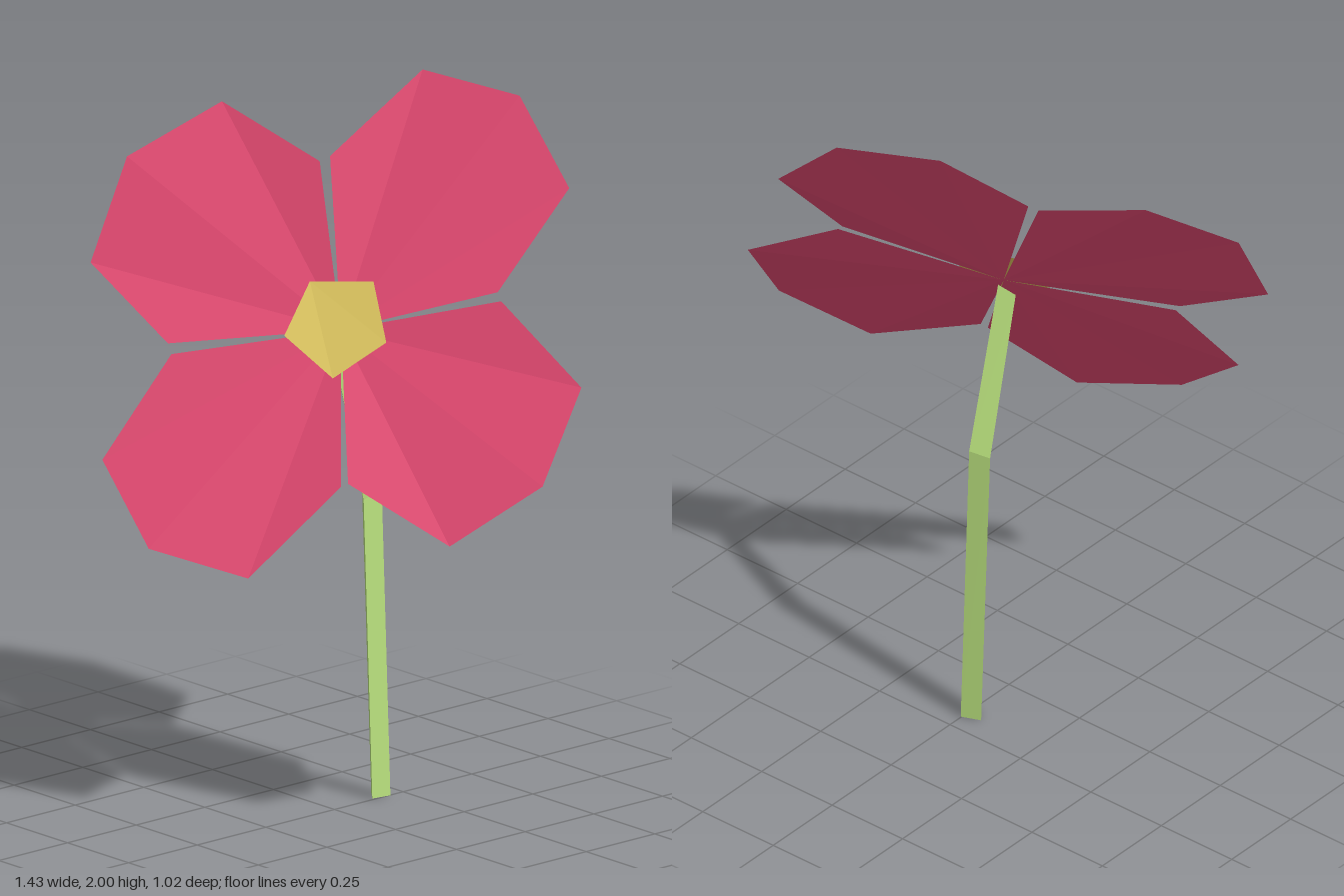
import * as THREE from 'three';

const flat = (name, color, side = THREE.FrontSide) =>
  new THREE.MeshStandardMaterial({ name, color, side, flatShading: true });

// Mesh from a list of triangles, each a list of three points
function facets(name, triangles, material) {
  const geometry = new THREE.BufferGeometry();
  geometry.setAttribute('position', new THREE.Float32BufferAttribute(triangles.flat(2), 3));
  geometry.computeVertexNormals();
  const mesh = new THREE.Mesh(geometry, material);
  mesh.name = name;
  return mesh;
}

// Triangles from one hub point to each edge of an open rim
const fan = (hub, rim) => rim.slice(1).map((p, i) => [hub, rim[i], p]);

export function createModel() {
  const pink = flat('petal pink', 0xe84b74, THREE.DoubleSide);
  const yellow = flat('centre yellow', 0xe4cc63, THREE.DoubleSide);
  const green = flat('stem green', 0xbce47f);
  const flower = new THREE.Group();
  flower.name = 'flower';

  // Four petals, rims listed counter-clockwise seen from the front
  const heart = [-0.005, 1.358, -0.028];
  const petals = {
    topPetal: [[0.365, 1.5, -0.27], [0.405, 1.76, -0.495], [0.185, 1.97, -0.51], [-0.1, 2, -0.41], [-0.215, 1.775, -0.175]],
    leftPetal: [[0.23, 1.01, 0.155], [0.545, 0.885, 0.065], [0.712, 1.055, -0.125], [0.68, 1.295, -0.295], [0.385, 1.48, -0.265]],
    bottomPetal: [[-0.37, 1.265, 0.265], [-0.42, 0.995, 0.472], [-0.185, 0.803, 0.512], [0.085, 0.755, 0.39], [0.213, 1, 0.165]],
    rightPetal: [[-0.235, 1.76, -0.155], [-0.56, 1.87, -0.088], [-0.715, 1.72, 0.12], [-0.69, 1.455, 0.275], [-0.39, 1.29, 0.26]],
  };
  for (const [name, rim] of Object.entries(petals)) {
    flower.add(facets(name, fan(heart, rim), pink));
  }

  // Flat five-sided centre, lifted slightly off the petals
  const lift = new THREE.Vector3(0.4, 0.53, 0.75).multiplyScalar(0.006);
  const disc = [[-0.132, 1.465, -0.03], [-0.122, 1.333, 0.072], [0.043, 1.243, 0.042], [0.133, 1.342, -0.073], [0.03, 1.483, -0.118]]
    .map(p => new THREE.Vector3(...p).add(lift).toArray());
  flower.add(facets('flowerCentre', fan(disc[0], disc.slice(1)), yellow));

  // Three-sided stem: foot, bend and top sections (front, back, outer corners)
  const sections = [
    [[-0.008, 0, -0.145], [0.002, 0, -0.202], [-0.052, 0, -0.18]],
    [[-0.021, 0.85, -0.125], [-0.011, 0.875, -0.182], [-0.067, 0.865, -0.16]],
    [[-0.002, 1.3, 0], [0.005, 1.345, -0.04], [-0.045, 1.325, -0.025]],
  ];
  const sides = [];
  for (let s = 0; s < 2; s++) {
    for (let i = 0; i < 3; i++) {
      const j = (i + 1) % 3, low = sections[s], high = sections[s + 1];
      sides.push([low[i], low[j], high[j]], [low[i], high[j], high[i]]);
    }
  }
  const [foot, , top] = sections;
  sides.push([foot[0], foot[2], foot[1]], top);
  flower.add(facets('stem', sides, green));

  return flower;
}
